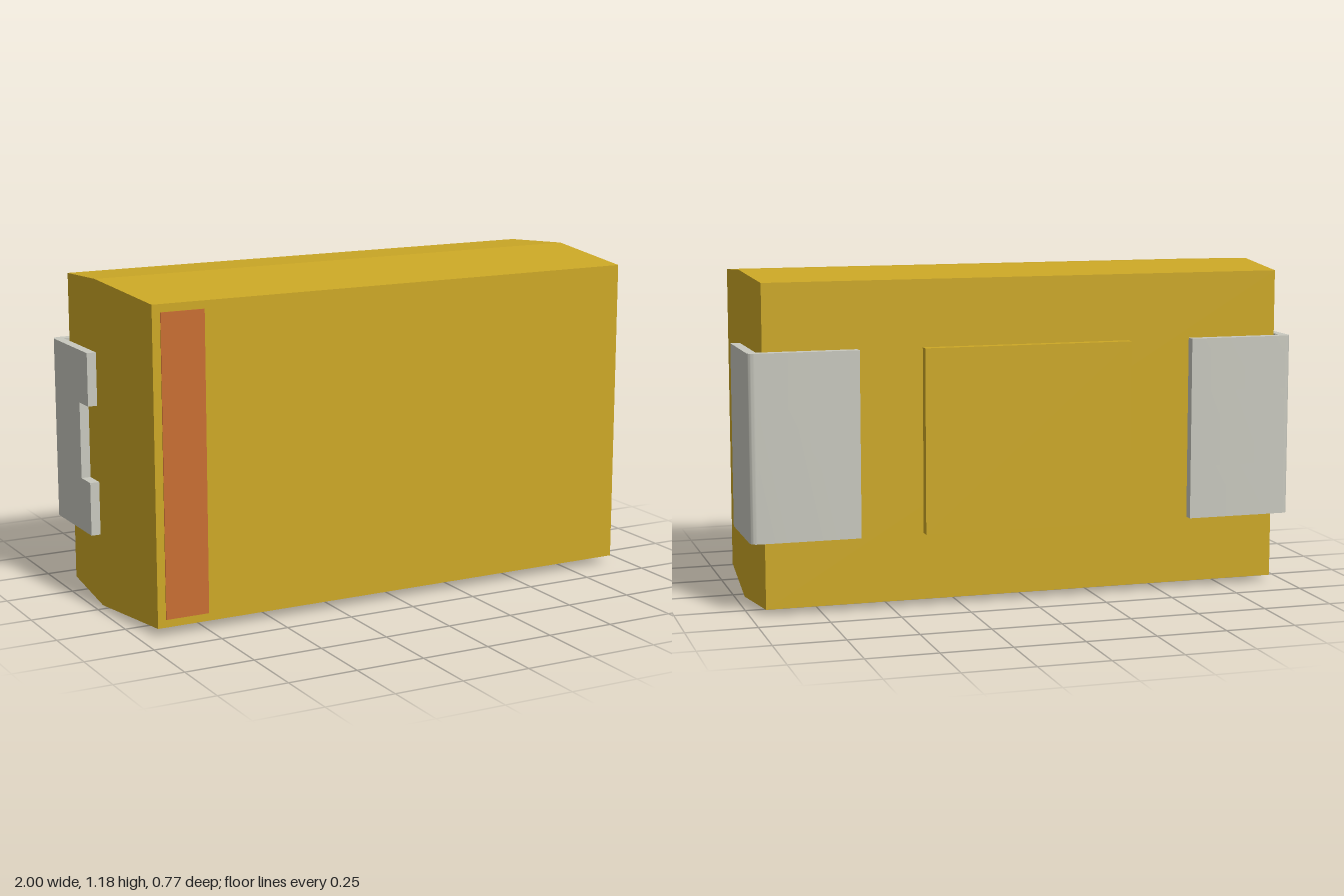
import * as THREE from 'three';
import { ConvexGeometry } from 'three/addons/geometries/ConvexGeometry.js';
import { toCreasedNormals } from 'three/addons/utils/BufferGeometryUtils.js';

const material = (name, color) => {
  const m = new THREE.MeshStandardMaterial({ color });
  m.name = name;
  return m;
};

export function createModel() {
  const group = new THREE.Group();
  const resin = material('ochre resin', 0xcca826);
  const metal = material('tinned metal', 0xc8c8be);
  const paint = material('rust stripe', 0xc86e32);
  const midY = 0.59;

  const add = (name, geometry, mat, parent = group) => {
    const mesh = new THREE.Mesh(geometry, mat);
    mesh.name = name;
    parent.add(mesh);
    return mesh;
  };

  // Moulded case: widest at the parting line, drafted to front and back
  const corners = [];
  for (const [z, hx, hy] of [[-0.35, 0.945, 0.566], [-0.04, 0.965, 0.588], [0.385, 0.935, 0.558]])
    for (const sx of [-1, 1])
      for (const sy of [-1, 1]) corners.push(new THREE.Vector3(sx * hx, midY + sy * hy, z));
  add('case', new ConvexGeometry(corners), resin);

  // Raised pad on the back
  add('backPad', new THREE.BoxGeometry(0.76, 0.657, 0.045), resin).position.set(0, midY, -0.3625);

  // Polarity stripe on the front
  add('polarityStripe', new THREE.BoxGeometry(0.16, 1.06, 0.006), paint).position.set(-0.825, midY, 0.385);

  // L-shaped strip of a terminal, from y0 to y1, its side arm ending at armZ
  const strip = (side, y0, y1, armZ) => {
    const r = 0.03;
    const s = new THREE.Shape();
    s.moveTo(side * 0.612, 0.385);
    s.lineTo(side * (1 - r), 0.385);
    s.quadraticCurveTo(side, 0.385, side, 0.385 - r);
    s.lineTo(side, -armZ);
    s.lineTo(side * 0.966, -armZ);
    s.lineTo(side * 0.966, 0.35);
    s.lineTo(side * 0.612, 0.35);
    s.closePath();
    const g = new THREE.ExtrudeGeometry(s, { depth: y1 - y0, bevelEnabled: false, curveSegments: 8 });
    g.rotateX(-Math.PI / 2).translate(0, y0, 0);
    return toCreasedNormals(g, 0.6);
  };

  // Plain terminal on the left, notched terminal on the right
  const low = 0.263, high = 0.92, end = -0.043;
  add('leftTerminal', strip(1, low, high, end), metal);
  const notched = new THREE.Group();
  notched.name = 'rightTerminal';
  group.add(notched);
  add('lowerTab', strip(-1, low, 0.455, end), metal, notched);
  add('notchedMiddle', strip(-1, 0.455, 0.73, -0.125), metal, notched);
  add('upperTab', strip(-1, 0.73, high, end), metal, notched);

  return group;
}
